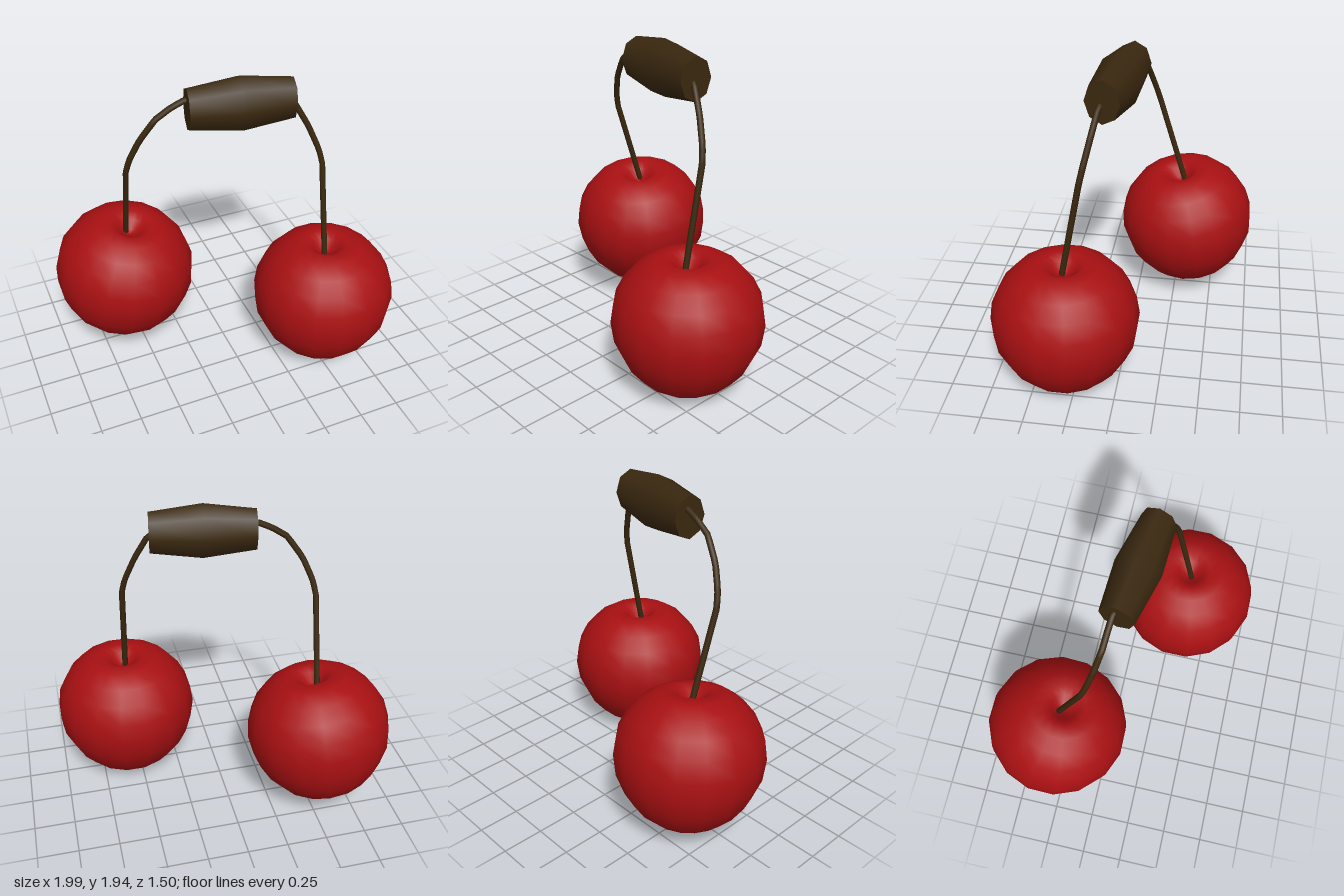
import * as THREE from 'three';

const red = new THREE.MeshStandardMaterial({ color: 0xa81012 });
const brown = new THREE.MeshStandardMaterial({ color: 0x3a280f });

// Fruit outline from the base, up the side and down into the dimple, centred on y = 0
const PROFILE = [
  [0, 0], [0.12, 0.015], [0.21, 0.05], [0.295, 0.115], [0.37, 0.21], [0.425, 0.33],
  [0.443, 0.46], [0.425, 0.58], [0.375, 0.68], [0.3, 0.765], [0.21, 0.82],
  [0.13, 0.83], [0.08, 0.8], [0.035, 0.755], [0, 0.745],
].map(([r, y]) => new THREE.Vector2(r, y - 0.415));

function addMesh(parent, name, geometry, material) {
  const mesh = new THREE.Mesh(geometry, material);
  mesh.name = name;
  parent.add(mesh);
  return mesh;
}

function addCherry(parent, name, position, tiltX, tiltZ) {
  const cherry = addMesh(parent, name, new THREE.LatheGeometry(PROFILE, 16, Math.PI / 16), red);
  cherry.position.set(...position);
  cherry.rotation.set(tiltX, 0, tiltZ);
}

function addStem(parent, name, points) {
  const path = new THREE.CurvePath();
  const v = points.map((p) => new THREE.Vector3(...p));
  for (let i = 1; i < v.length; i++) path.add(new THREE.LineCurve3(v[i - 1], v[i]));
  addMesh(parent, name, new THREE.TubeGeometry(path, 28, 0.018, 8, false), brown);
}

// Eight-sided twig, thicker in the middle, lying along x
function twigGeometry() {
  const geometry = new THREE.CylinderGeometry(1, 1, 0.61, 8, 2);
  const pos = geometry.attributes.position;
  for (let i = 0; i < pos.count; i++) {
    if (Math.abs(pos.getY(i)) < 0.01) {
      pos.setX(i, pos.getX(i) * 1.32);
      pos.setZ(i, pos.getZ(i) * 1.32);
    }
  }
  geometry.rotateZ(Math.PI / 2);
  geometry.scale(1, 0.129, 0.102);
  return geometry;
}

export function createModel() {
  const group = new THREE.Group();
  group.name = 'cherryPair';

  addCherry(group, 'leftCherry', [0.563, 0.418, 0.315], 0, 0);
  addCherry(group, 'rightCherry', [-0.563, 0.49, -0.32], 0.16, -0.12);

  addStem(group, 'leftStem', [
    [0.55, 0.74, 0.33], [0.55, 1.36, 0.21], [0.53, 1.45, 0.19],
    [0.47, 1.6, 0.155], [0.39, 1.75, 0.12], [0.3, 1.79, 0.09],
  ]);
  addStem(group, 'rightStem', [
    [-0.54, 0.8, -0.3], [-0.555, 1.38, -0.12], [-0.535, 1.47, -0.095], [-0.48, 1.6, -0.06],
    [-0.39, 1.73, -0.03], [-0.3, 1.79, -0.02], [-0.21, 1.83, -0.01], [-0.14, 1.83, 0.01],
  ]);

  const twig = addMesh(group, 'twig', twigGeometry(), brown);
  twig.position.set(0.085, 1.775, 0.055);
  twig.rotation.y = -0.16;

  return group;
}
